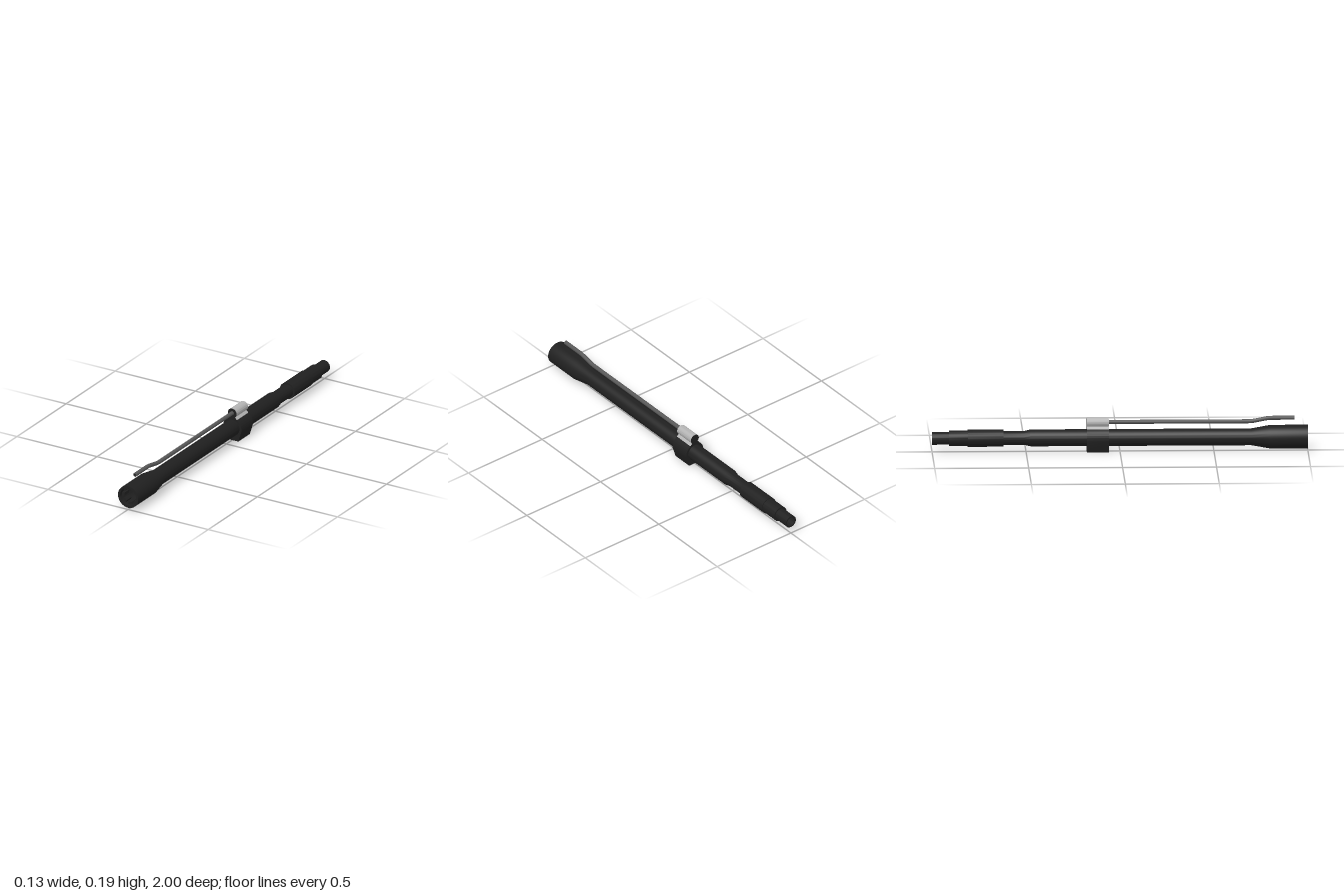
import * as THREE from 'three';
import { toCreasedNormals } from 'three/addons/utils/BufferGeometryUtils.js';

const AXIS = 0.073; // height of the main tube's axis

export function createModel() {
  const black = new THREE.MeshStandardMaterial({ color: 0x202020 });
  black.name = 'matte black';
  const grey = new THREE.MeshStandardMaterial({ color: 0x585858 });
  grey.name = 'steel grey';
  const silver = new THREE.MeshStandardMaterial({ color: 0xb4b4b4 });
  silver.name = 'bright silver';

  const model = new THREE.Group();
  model.name = 'steppedTubeAssembly';
  const add = (name, geometry, material, parent = model) => {
    const mesh = new THREE.Mesh(geometry, material);
    mesh.name = name;
    parent.add(mesh);
    return mesh;
  };
  const extrude = (shape, depth, z) => {
    const g = new THREE.ExtrudeGeometry(shape, { depth, bevelEnabled: false, curveSegments: 32 });
    g.translate(0, 0, z);
    return toCreasedNormals(g, 0.5);
  };

  // Hollow stepped tube: up the outside from the rear, back down the inside
  const profile = [
    [0.026, -1], [0.034, -1], [0.034, -0.91], [0.042, -0.91], [0.042, -0.81],
    [0.046, -0.81], [0.046, -0.62], [0.037, -0.62], [0.037, -0.51], [0.045, -0.475],
    [0.045, 0.7], [0.063, 0.8], [0.063, 1], [0.05, 1], [0.05, 0.88],
    [0.034, 0.88], [0.026, 0.85], [0.026, -1],
  ].map(([r, z]) => new THREE.Vector2(r, z));
  const tube = new THREE.LatheGeometry(profile, 40);
  tube.rotateX(Math.PI / 2);
  tube.translate(0, AXIS, 0);
  add('mainTube', toCreasedNormals(tube, 0.4), black);

  // Ring of inward teeth in the front socket
  const teeth = new THREE.Group();
  teeth.name = 'socketTeeth';
  teeth.position.y = AXIS;
  model.add(teeth);
  const toothShape = new THREE.Shape([
    new THREE.Vector2(-0.013, 0.05), new THREE.Vector2(-0.008, 0.036),
    new THREE.Vector2(0.008, 0.036), new THREE.Vector2(0.013, 0.05),
  ]);
  const toothGeometry = extrude(toothShape, 0.05, 0.93);
  for (let i = 0; i < 8; i++) {
    add('tooth', toothGeometry, black, teeth).rotation.z = (i * Math.PI) / 4;
  }

  // Clamp block with a flat foot, bored for the main tube
  const block = new THREE.Shape();
  block.moveTo(-0.038, 0);
  block.lineTo(0.038, 0);
  block.lineTo(0.057, 0.06);
  block.lineTo(0.057, AXIS);
  block.absarc(0, AXIS, 0.057, 0, Math.PI, false);
  block.lineTo(-0.057, 0.06);
  block.closePath();
  const bore = new THREE.Path();
  bore.absarc(0, AXIS, 0.044, 0, Math.PI * 2, true);
  block.holes.push(bore);
  add('clampBlock', extrude(block, 0.117, -0.177), black);

  // Round saddle above the block: black ends, silver sides
  const saddle = new THREE.Shape();
  saddle.moveTo(-0.032, 0.119);
  saddle.lineTo(0.032, 0.119);
  saddle.absarc(0, 0.156, 0.027, -0.89, Math.PI + 0.89, false);
  saddle.closePath();
  add('saddle', extrude(saddle, 0.117, -0.177), [black, silver]);

  // Thin bent tube running forward from the saddle
  const path = new THREE.CatmullRomCurve3(
    [[0.157, -0.08], [0.157, 0.3], [0.157, 0.66], [0.158, 0.7], [0.174, 0.79], [0.175, 0.83], [0.175, 0.93]]
      .map(([y, z]) => new THREE.Vector3(0, y, z)), false, 'centripetal');
  add('thinTube', new THREE.TubeGeometry(path, 80, 0.011, 16), grey);
  const rim = add('thinTubeRim', new THREE.RingGeometry(0.006, 0.011, 16), grey);
  rim.position.set(0, 0.175, 0.93);
  const end = add('thinTubeOpening', new THREE.CircleGeometry(0.011, 16), black);
  end.position.set(0, 0.175, 0.925);

  return model;
}
